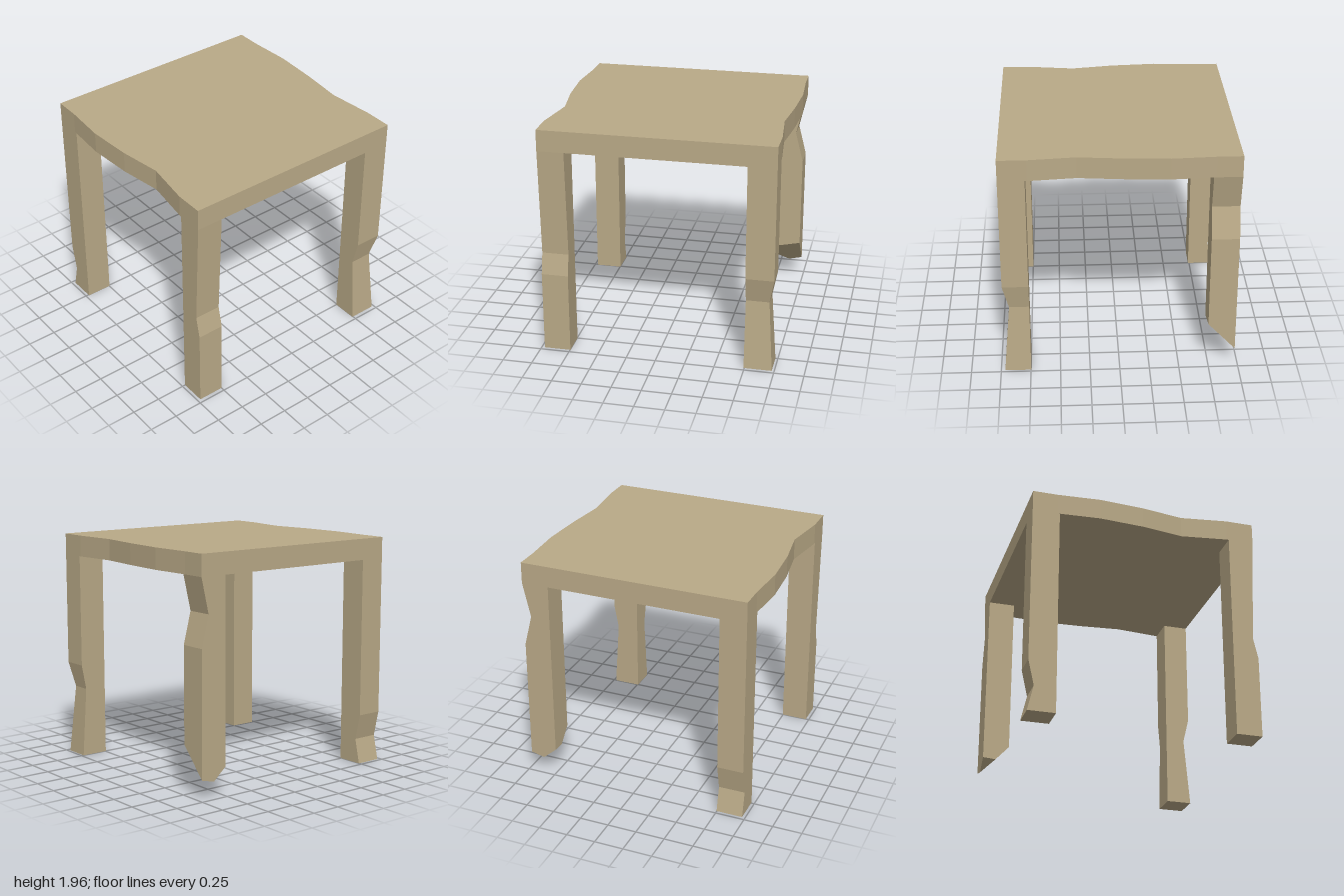
import * as THREE from 'three';

const L = -0.97, R = 0.966, F = 0.973, B = -0.979; // outer faces
const IL = -0.74, IR = 0.748, IF = 0.747, IB = -0.743; // inner leg faces
const UNDER = 1.78, TOP = 1.96;

// Loft between rings of [x, y, z] points (bottom first, counterclockwise from above), closed below
function loft(rings) {
  const pos = [];
  const tri = (a, b, c) => pos.push(...a, ...b, ...c);
  const n = rings[0].length;
  for (let r = 0; r < rings.length - 1; r++) {
    const lo = rings[r], hi = rings[r + 1];
    for (let i = 0; i < n; i++) {
      const j = (i + 1) % n;
      tri(lo[i], lo[j], hi[j]);
      tri(lo[i], hi[j], hi[i]);
    }
  }
  for (let i = 1; i < n - 1; i++) tri(rings[0][0], rings[0][i + 1], rings[0][i]);
  const geo = new THREE.BufferGeometry();
  geo.setAttribute('position', new THREE.Float32BufferAttribute(pos, 3));
  geo.computeVertexNormals();
  return geo;
}

// Rectangular leg section at height y
const rect = (y, x0, x1, z0, z1) => [[x0, y, z0], [x0, y, z1], [x1, y, z1], [x1, y, z0]];

export function createModel() {
  const group = new THREE.Group();
  const wood = new THREE.MeshStandardMaterial({ color: 0xb9a987 });
  wood.name = 'tan wood';
  const add = (name, geo) => {
    const mesh = new THREE.Mesh(geo, wood);
    mesh.name = name;
    group.add(mesh);
  };

  // Tabletop with uneven front and back edges
  const front = [[L, F], [-0.76, F], [-0.4, 0.998], [-0.02, 0.972], [0.34, 0.915], [0.73, F], [R, F]];
  const back = [[R, B], [0.73, B], [0.34, -0.942], [-0.02, -0.979], [-0.4, -1], [-0.76, B], [L, B]];
  const outline = [...front, ...back].map(([x, z]) => new THREE.Vector2(x, -z));
  const top = new THREE.ExtrudeGeometry(new THREE.Shape(outline), { depth: TOP - UNDER, bevelEnabled: false });
  top.rotateX(-Math.PI / 2).translate(0, UNDER, 0);
  add('tabletop', top);

  // Leg worn on its outer side, long shallow taper
  add('frontLeftLeg', loft([
    rect(0, IR, R, IF, F), rect(0.69, IR, R, IF, F),
    rect(0.87, IR, 0.925, IF, F), rect(UNDER, IR, R, IF, F),
  ]));

  // Leg with a notch close to the foot
  add('frontRightLeg', loft([
    rect(0, L, IL, IF, F), rect(0.21, -0.921, IL, IF, F),
    rect(0.43, L, IL, IF, F), rect(UNDER, L, IL, IF, F),
  ]));

  // Leg worn on two sides
  add('backLeftLeg', loft([
    rect(0, IR, R, B, IB), rect(0.6, IR, 0.914, -0.938, IB),
    rect(0.815, IR, R, B, IB), rect(UNDER, IR, R, B, IB),
  ]));

  // Broken leg: slanted foot with one clipped corner, notch near the top
  const foot = [
    [L, 0.137, -0.86], [L, 0.24, IB], [-0.857, 0.232, IB],
    [IL, 0.36, IB], [IL, 0.412, B], [L, 0.165, B],
  ];
  const section = (y, zBack) => foot.map(([x, , z]) => [x, y, z === B ? zBack : z]);
  add('backRightLeg', loft([foot, section(1.22, B), section(1.485, -0.911), section(UNDER, B)]));

  return group;
}
